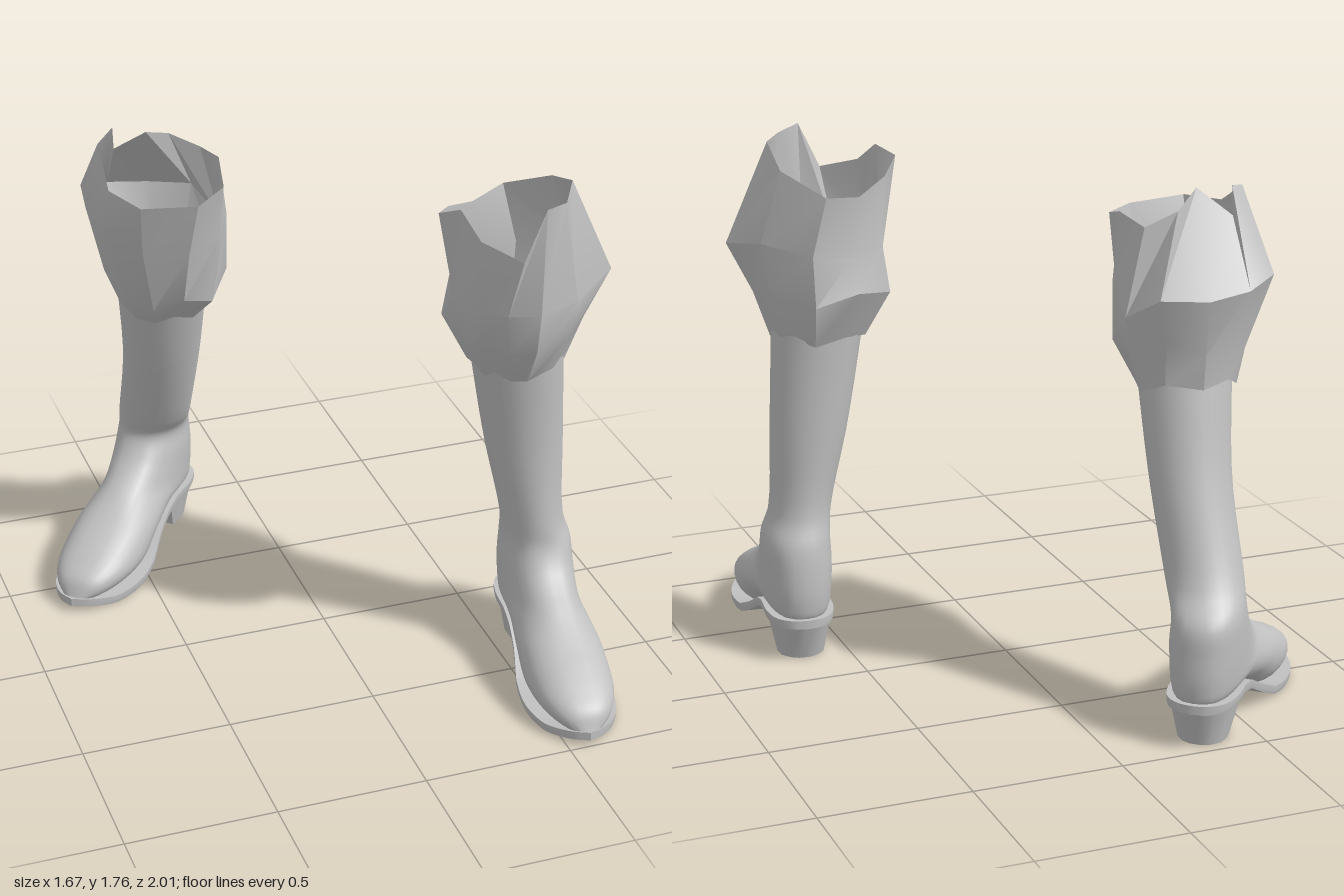
import * as THREE from 'three';
import { toCreasedNormals } from 'three/addons/utils/BufferGeometryUtils.js';

const V = (x, y, z) => new THREE.Vector3(x, y, z);
const SIDES = 28;

// Skin rings of points (ordered bottom to top, counter-clockwise from above)
function loft(rings, capped, crease) {
  const n = rings[0].length, last = (rings.length - 1) * n, index = [];
  for (let j = 0; j < rings.length - 1; j++) {
    for (let i = 0; i < n; i++) {
      const a = j * n + i, b = j * n + (i + 1) % n;
      index.push(a, b, b + n, a, b + n, a + n);
    }
  }
  if (capped) {
    for (let i = 0; i < n / 2; i++) {
      const a = i, b = i + 1, c = n - i - 1, d = (n - i) % n;
      index.push(last + a, last + b, last + c, last + a, last + c, last + d);
      index.push(a, c, b, a, d, c);
    }
  }
  const geo = new THREE.BufferGeometry();
  geo.setAttribute('position', new THREE.Float32BufferAttribute(rings.flat().flatMap(p => p.toArray()), 3));
  geo.setIndex(index);
  return toCreasedNormals(geo, crease);
}

// Smooth extra rings between the given ones
function smoothRings(rings, count) {
  const curves = rings[0].map((_, i) => new THREE.CatmullRomCurve3(rings.map(r => r[i]), false, 'centripetal'));
  const cols = curves.map(c => Array.from({ length: count + 1 }, (_, k) => c.getPoint(k / count)));
  return cols[0].map((_, k) => cols.map(c => c[k]));
}

// Piecewise-linear lookup in [position, value] pairs
function lookup(table, s) {
  let i = 0;
  while (i < table.length - 2 && s > table[i + 1][0]) i++;
  const [a, b] = [table[i], table[i + 1]];
  const t = THREE.MathUtils.clamp((s - a[0]) / (b[0] - a[0]), 0, 1);
  return a[1] + (b[1] - a[1]) * t;
}

// Foot sections from toe to ankle: top s, top y, bottom s, bottom y, half width
const FOOT = [
  [0.85, 0.045, 0.835, 0.03, 0.03], [0.82, 0.105, 0.77, 0.025, 0.085],
  [0.76, 0.145, 0.66, 0.022, 0.125], [0.68, 0.185, 0.5, 0.03, 0.142],
  [0.6, 0.22, 0.36, 0.10, 0.138], [0.53, 0.255, 0.2, 0.14, 0.125],
  [0.47, 0.29, 0.02, 0.145, 0.12], [0.42, 0.32, 0.003, 0.2, 0.12],
  [0.365, 0.365, 0.005, 0.3, 0.12], [0.325, 0.43, 0.02, 0.4, 0.115],
];
// Sole outline from toe to heel, and the height of its underside
const SOLE = [[0.865, 0], [0.835, 0.055], [0.76, 0.115], [0.65, 0.15], [0.52, 0.148],
  [0.38, 0.122], [0.24, 0.115], [0.12, 0.115], [0.04, 0.092], [0.002, 0.045], [-0.006, 0]];
const ARCH = [[0, 0.125], [0.22, 0.125], [0.3, 0.108], [0.42, 0.045], [0.5, 0.01], [0.58, 0], [0.75, 0], [0.865, 0.025]];
const HEEL = [[1, 0], [1, 0.5], [1, 0.92], [0.6, 1], [0.3, 0.9], [0.1, 0.6], [0, 0.25], [0, 0]];

// Mirror a half outline of [s, half width] into a closed ring
const mirror = half => [...half, ...half.slice(1, -1).reverse().map(([s, w]) => [s, -w])];

function makeBoot(name, spec, material) {
  const boot = new THREE.Group();
  boot.name = name;
  const [fx, fz] = spec.forward;
  const at = (lat, y, s, [ox, oz] = spec.heel) => V(ox + s * fx + lat * fz, y, oz + s * fz - lat * fx);
  const add = (part, geo) => {
    const mesh = new THREE.Mesh(geo, material);
    mesh.name = part;
    boot.add(mesh);
  };
  const angles = Array.from({ length: SIDES }, (_, i) => i / SIDES * Math.PI * 2);

  // Foot and shaft in one continuous skin
  const foot = FOOT.map(([ts, ty, bs, by, w]) => angles.map(a => {
    const c = Math.cos(a), k = (1 + c) / 2, sn = Math.sin(a);
    return at(w * Math.sign(sn) * Math.abs(sn) ** 0.8, by + (ty - by) * k, bs + (ts - bs) * k);
  }));
  const shaft = spec.shaft.map(([y, x, z, w, d]) =>
    angles.map(a => at(w * Math.sin(a), y, d * Math.cos(a), [x, z])));
  add('bootUpper', loft(smoothRings([...foot, ...shaft], 54), false, 1.2));

  // Arched sole with a thin welt
  const curve = new THREE.CatmullRomCurve3(SOLE.map(([s, w]) => V(s, w, 0)));
  const outline = mirror(curve.getPoints(36).map(p => [p.x, p.y]));
  const soleRing = (lift, grow) => outline.map(([s, w]) => at(w * grow, lookup(ARCH, s) + lift, s));
  add('sole', loft([soleRing(0, 0.97), soleRing(0.012, 1), soleRing(0.03, 1)], true, 0.5));

  // Tapered block heel
  const heelRing = (y, s0, s1, w) => mirror(HEEL).map(([s, k]) => at(k * w, y, s0 + s * (s1 - s0)));
  add('heel', loft([heelRing(0, 0.05, 0.19, 0.08), heelRing(0.135, 0.002, 0.255, 0.108)], true, 0.6));

  // Crumpled cuff: two fitted rings below, then the bulge and the torn rim
  const { rim, bulge, low, hem } = spec.cuff;
  const fitted = ([x, y, z, rx, rz, tilt], jag) => bulge.map(([bx, , bz], i) => {
    const a = Math.atan2(bx - x, bz - z);
    return V(x + rx * Math.sin(a), y - tilt * Math.cos(a) + (i % 2 ? jag : -jag), z + rz * Math.cos(a));
  });
  const rings = [fitted(hem, 0.012), fitted(low, 0.02), bulge.map(p => V(...p)), rim.map(p => V(...p))];
  add('cuff', loft(rings, false, 0.55));
  return boot;
}

const LEFT = {
  heel: [0.665, 0.143], forward: [-0.11, 0.994],
  // Shaft sections: y, centre x, centre z, half width, half depth
  shaft: [[0.5, 0.627, 0.325, 0.105, 0.132], [0.8, 0.588, 0.322, 0.132, 0.128], [1.2, 0.54, 0.337, 0.158, 0.152]],
  cuff: {
    rim: [[0.51, 1.76, 0.62], [0.6, 1.745, 0.56], [0.68, 1.75, 0.42], [0.69, 1.69, 0.24], [0.58, 1.62, 0.1],
      [0.45, 1.6, 0.16], [0.33, 1.64, 0.25], [0.25, 1.68, 0.37], [0.3, 1.71, 0.43], [0.33, 1.64, 0.53], [0.43, 1.6, 0.64]],
    bulge: [[0.5, 1.4, 0.63], [0.65, 1.4, 0.57], [0.83, 1.42, 0.42], [0.76, 1.45, 0.25], [0.62, 1.42, 0.13],
      [0.48, 1.4, 0.15], [0.34, 1.4, 0.25], [0.3, 1.4, 0.38], [0.3, 1.4, 0.47], [0.33, 1.4, 0.53], [0.4, 1.4, 0.6]],
    low: [0.525, 1.27, 0.345, 0.228, 0.25, 0], hem: [0.545, 1.11, 0.335, 0.16, 0.158, 0],
  },
};
const RIGHT = {
  heel: [-0.246, -0.975], forward: [-0.664, 0.748],
  shaft: [[0.5, -0.372, -0.785, 0.127, 0.125], [0.8, -0.378, -0.65, 0.133, 0.138], [1.15, -0.4, -0.535, 0.155, 0.155]],
  cuff: {
    rim: [[-0.57, 1.59, -0.15], [-0.38, 1.575, -0.14], [-0.26, 1.58, -0.25], [-0.23, 1.62, -0.4], [-0.25, 1.6, -0.55],
      [-0.35, 1.65, -0.58], [-0.45, 1.7, -0.5], [-0.54, 1.62, -0.58], [-0.55, 1.71, -0.55], [-0.62, 1.69, -0.48], [-0.635, 1.6, -0.3]],
    bulge: [[-0.55, 1.4, -0.22], [-0.4, 1.38, -0.19], [-0.27, 1.38, -0.28], [-0.2, 1.4, -0.42], [-0.18, 1.32, -0.57],
      [-0.24, 1.4, -0.7], [-0.38, 1.4, -0.765], [-0.52, 1.42, -0.76], [-0.63, 1.45, -0.7], [-0.665, 1.46, -0.5], [-0.65, 1.45, -0.33]],
    low: [-0.4, 1.2, -0.5, 0.21, 0.235, 0.04], hem: [-0.397, 1.08, -0.56, 0.162, 0.165, 0.035],
  },
};

export function createModel() {
  const leather = new THREE.MeshStandardMaterial({ color: 0xc0c0c0, side: THREE.DoubleSide });
  leather.name = 'grey leather';
  const model = new THREE.Group();
  model.name = 'pairOfBoots';
  model.add(makeBoot('leftBoot', LEFT, leather), makeBoot('rightBoot', RIGHT, leather));
  return model;
}
